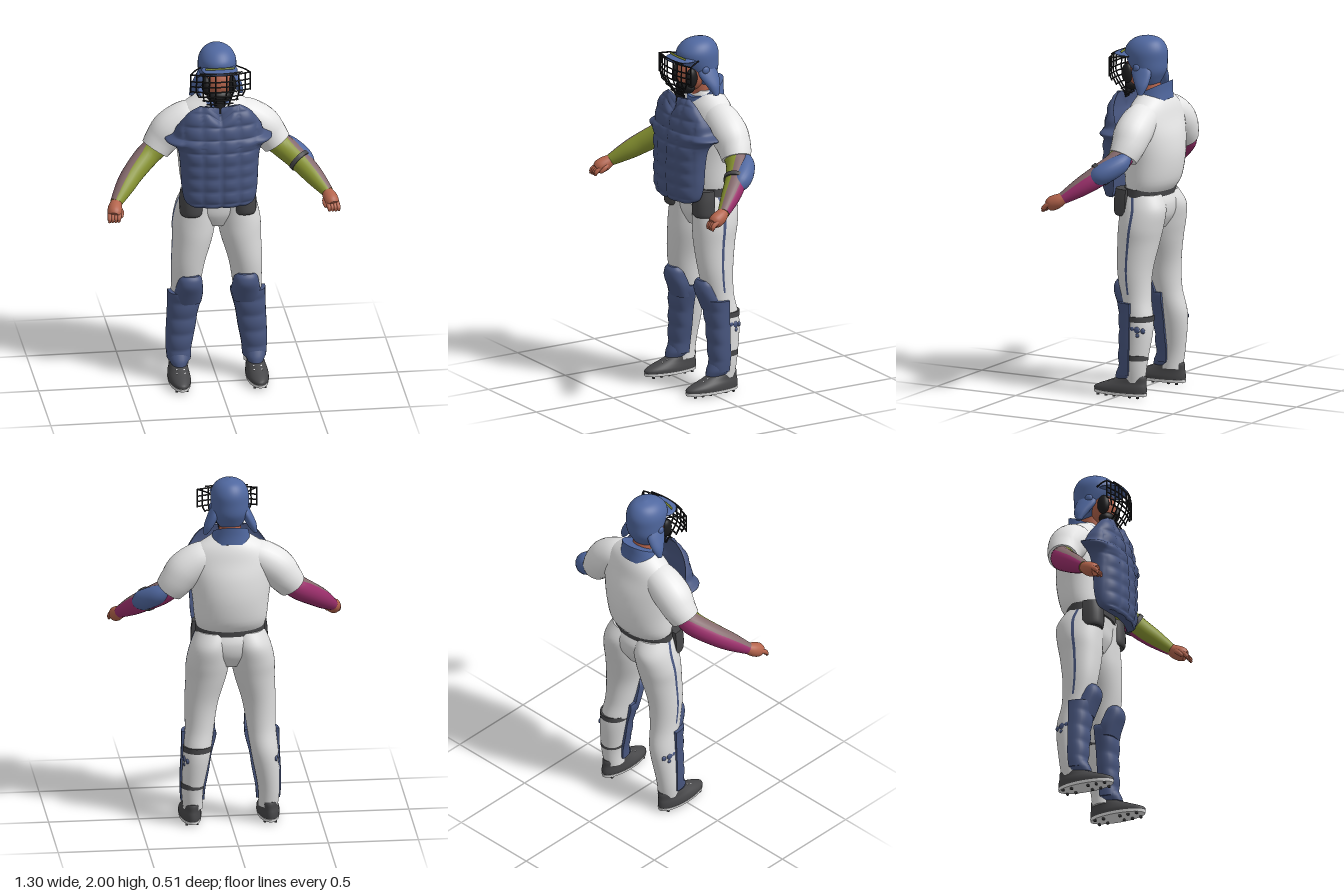
import * as THREE from 'three';

const mat = (name, color) => {
  const m = new THREE.MeshStandardMaterial({ color });
  m.name = name;
  return m;
};
const V = (x, y, z) => new THREE.Vector3(x, y, z);

// Catmull-Rom resampling of rows of numbers
function smooth(rows, n) {
  const out = [], last = rows.length - 1;
  for (let k = 0; k <= n; k++) {
    const f = (k / n) * last, i = Math.min(Math.floor(f), last - 1), t = f - i;
    const [a, b, c, d] = [rows[Math.max(i - 1, 0)], rows[i], rows[i + 1], rows[Math.min(i + 2, last)]];
    out.push(b.map((_, q) => 0.5 * (2 * b[q] + (c[q] - a[q]) * t + (2 * a[q] - 5 * b[q] + 4 * c[q] - d[q]) * t * t
      + (3 * b[q] - a[q] - 3 * c[q] + d[q]) * t * t * t)));
  }
  return out;
}

// Skin over closed rings with end caps; pick(j, i) chooses a material index
function loft(rings, pick = () => 0) {
  const m = rings[0].length, pos = [], lists = [];
  const tri = (k, ...v) => (lists[k] ??= []).push(...v);
  rings.forEach(r => r.forEach(p => pos.push(p.x, p.y, p.z)));
  for (let i = 0; i < rings.length - 1; i++) for (let j = 0; j < m; j++) {
    const a = i * m + j, b = i * m + (j + 1) % m, k = pick(j, i);
    tri(k, a, a + m, b, b, a + m, b + m);
  }
  [rings[0], rings[rings.length - 1]].forEach((r, end) => {
    const s = pos.length / 3, c = V(0, 0, 0);
    r.forEach(p => { pos.push(p.x, p.y, p.z); c.addScaledVector(p, 1 / m); });
    pos.push(c.x, c.y, c.z);
    for (let j = 0; j < m; j++) {
      const p = s + j, q = s + (j + 1) % m;
      end ? tri(0, s + m, q, p) : tri(0, s + m, p, q);
    }
  });
  const g = new THREE.BufferGeometry(), index = [];
  lists.forEach((l, k) => {
    if (lists.length > 1) g.addGroup(index.length, l.length, k);
    for (const v of l) index.push(v);
  });
  g.setAttribute('position', new THREE.Float32BufferAttribute(pos, 3));
  g.setIndex(index);
  g.computeVertexNormals();
  return g;
}

const angles = n => Array.from({ length: n }, (_, j) => (j / n) * Math.PI * 2);

// Upright body from rows [y, cx, cz, rx, rz], bottom to top
const body = (rows, n = 30, seg = 40, pick) => loft(smooth(rows, n).map(([y, cx, cz, rx, rz]) =>
  angles(seg).map(a => V(cx + rx * Math.cos(a), y, cz + rz * Math.sin(a)))), pick);

// Padded shield from rows [y, cx, halfWidth, backZ, frontZ]
const shield = (rows, n, seg, back, bump = () => 0, drop = () => 0) => loft(smooth(rows, n).map(([y, cx, w, zb, zf]) =>
  angles(seg).map(a => {
    const s = Math.sin(a), x = cx + w * Math.cos(a);
    const z = s > 0 ? zb + (zf - zb) * Math.pow(s, 0.65) + bump(x, y) * Math.min(1, s * 2) : zb - (zf - zb) * back * s;
    return V(x, y - drop(x, y), z);
  })));

// Limb from rows [x, y, z, r]; angle 0 is the top, a quarter turn is the outer back
function limb(rows, n = 16, seg = 24, pick) {
  const s = smooth(rows, n), p = s.map(r => V(r[0], r[1], r[2]));
  return loft(p.map((c, i) => {
    const T = p[Math.min(i + 1, n)].clone().sub(p[Math.max(i - 1, 0)]).normalize();
    const U = V(0, 1, 0).addScaledVector(T, -T.y).normalize(), W = U.clone().cross(T);
    return angles(seg).map(a => c.clone().addScaledVector(U, s[i][3] * Math.cos(a)).addScaledVector(W, s[i][3] * Math.sin(a)));
  }), pick);
}

const ball = (x, y, z, rx, ry, rz) => new THREE.SphereGeometry(1, 24, 16).scale(rx, ry, rz).translate(x, y, z);
const box = (x, y, z, w, h, d, tilt = 0) => new THREE.BoxGeometry(w, h, d).rotateX(tilt).translate(x, y, z);
const wire = (pts, r = 0.0045) => new THREE.TubeGeometry(new THREE.CatmullRomCurve3(pts), 20, r, 6);

function mirrored(geo) {
  const g = geo.clone().scale(-1, 1, 1), ix = g.index;
  for (let i = 0; i < ix.count; i += 3) {
    const t = ix.getX(i);
    ix.setX(i, ix.getX(i + 1));
    ix.setX(i + 1, t);
  }
  return g;
}

export function createModel() {
  const root = new THREE.Group();
  root.name = 'baseballCatcher';
  const white = mat('shirtWhite', 0xe8e8e8), pants = mat('pantsWhite', 0xdcdcdc);
  const blue = mat('helmetBlue', 0x5068a0), pad = mat('padBlue', 0x48567f);
  const charcoal = mat('charcoal', 0x474749), black = mat('wireBlack', 0x1b1b1d);
  const skin = mat('skin', 0xb4644c), olive = mat('sleeveOlive', 0x8a9632);
  const magenta = mat('sleeveMagenta', 0x9c2f6c), taupe = mat('sleeveTaupe', 0x84696c);
  const add = (name, geo, m) => {
    const mesh = new THREE.Mesh(geo, m);
    mesh.name = name;
    root.add(mesh);
  };
  const pair = (name, geo, m) => {
    add(name + 'Left', geo, m);
    add(name + 'Right', mirrored(geo), m);
  };

  // Torso, sleeves and hips
  add('shirt', body([[1.13, 0, -.07, .18, .112], [1.2, 0, -.09, .2, .14], [1.33, 0, -.1, .213, .155], [1.45, 0, -.1, .23, .15],
    [1.55, 0, -.1, .24, .125], [1.62, 0, -.1, .2, .108], [1.67, 0, -.1, .13, .085], [1.7, 0, -.09, .08, .065]]), white);
  pair('shirtSleeve', limb([[.1, 1.57, -.1, .085], [.17, 1.545, -.1, .1], [.25, 1.49, -.1, .105], [.3, 1.43, -.1, .095], [.34, 1.375, -.09, .082]]), white);
  add('hips', body([[.93, 0, -.08, .08, .08], [1, 0, -.085, .17, .115], [1.07, 0, -.085, .2, .122], [1.13, 0, -.07, .183, .113]]), pants);
  add('belt', body([[1.115, 0, -.07, .194, .122], [1.163, 0, -.072, .194, .124]], 2), charcoal);

  // Legs with a side stripe
  pair('pantLeg', body([[.09, .208, -.09, .055, .06], [.2, .212, -.1, .06, .066], [.4, .19, -.11, .075, .08], [.55, .172, -.08, .08, .085],
    [.7, .16, -.065, .093, .1], [.85, .135, -.072, .112, .118], [.95, .125, -.083, .12, .128], [1.05, .112, -.09, .11, .132],
    [1.13, .09, -.07, .098, .113]], 40, 48, (j, i) => (j === 0 && i > 15 ? 1 : 0)), [pants, pad]);
  pair('hipPouch', shield([[1.01, .147, .06, -.03, .055], [1.03, .147, .066, -.03, .066], [1.1, .145, .068, -.03, .066], [1.16, .14, .066, -.03, .058]], 12, 28, 0), charcoal);

  // Leg guards, straps and strap pads
  const rib = (x, y) => .007 * Math.abs(Math.sin(Math.PI * y / .095));
  pair('shinGuard', shield([[.13, .21, .066, -.085, -.005], [.2, .21, .071, -.09, -.004], [.3, .2, .08, -.09, -.003],
    [.4, .19, .085, -.09, 0], [.5, .176, .096, -.09, .01], [.535, .176, .096, -.09, .012]], 45, 36, 0, rib), pad);
  pair('kneeGuard', shield([[.47, .165, .075, -.05, .01], [.53, .16, .08, -.05, .035], [.585, .157, .073, -.03, .058],
    [.625, .155, .064, -.01, .055], [.647, .155, .045, .01, .04]], 16, 28, 0), pad);
  pair('ankleGuard', shield([[.105, .212, .045, -.07, .025], [.135, .212, .06, -.08, .018], [.17, .212, .06, -.08, 0]], 8, 24, 0), pad);
  [[.215, .211, -.101, .064, .07], [.432, .187, -.108, .079, .083]].forEach(([y, ...r], i) =>
    add('calfStrap' + (i + 1), body([[y, ...r], [y + .03, ...r]], 2), charcoal));
  [[.39, -.13, .02], [.385, -.16, .016], [.395, -.105, .016], [.36, -.135, .012]].forEach(([y, z, r], i) =>
    pair('strapPad' + (i + 1), ball(z < -.15 ? .245 : .258, y, z, .01, r, r), pad));

  // Shoes
  pair('shoe', body([[.026, .217, -.005, .061, .162], [.045, .217, -.006, .062, .163], [.065, .217, -.025, .058, .143],
    [.085, .215, -.05, .052, .115], [.11, .213, -.08, .049, .085], [.125, .212, -.09, .047, .07]], 14), charcoal);
  pair('sole', body([[.012, .217, -.005, .06, .163], [.028, .217, -.005, .063, .166]], 2), white);
  [-.13, -.08, .02, .07, .12].forEach((z, i) => [-1, 1].forEach(s =>
    pair('stud', box(.217 + s * .03, .007, z, .012, .014, .012), charcoal)));
  [0, .03, .058].forEach((z, i) => pair('lace' + (i + 1), box(.215, .106 - i * .012, z, .05, .005, .008, .4), white));

  // Arms with three-colour compression sleeves
  const arm = [[.3, 1.41, -.09, .062], [.38, 1.35, -.075, .066], [.47, 1.28, .0, .06], [.53, 1.225, .07, .052], [.59, 1.165, .15, .033]];
  pair('armSleeve', limb(arm, 24, 24, j => (j >= 23 || j < 3 ? 2 : j < 13 ? 1 : 0)), [olive, magenta, taupe]);
  pair('palm', limb([[.585, 1.17, .143, .029], [.597, 1.15, .175, .039], [.605, 1.132, .21, .04], [.61, 1.12, .23, .03]]), skin);
  for (let k = 0; k < 4; k++) {
    const x = .578 + k * .017;
    pair('finger' + (k + 1), limb([[x, 1.14, .2, .013], [x + .006, 1.118, .238, .013], [x + .009, 1.098, .249, .01], [x + .008, 1.09, .244, .004]], 10, 10), skin);
  }
  pair('thumb', limb([[.58, 1.15, .17, .014], [.566, 1.132, .2, .014], [.57, 1.112, .222, .011], [.575, 1.105, .227, .004]], 10, 10), skin);
  add('elbowGuard', limb([[.355, 1.395, -.125, .03], [.4, 1.355, -.11, .052], [.455, 1.315, -.062, .058], [.49, 1.285, -.015, .052], [.515, 1.26, .02, .025]]), blue);
  add('elbowStrap', limb([[.448, 1.3, -.02, .068], [.463, 1.287, -.006, .067]], 3), charcoal);

  // Quilted chest protector with a notch at the throat
  const quilt = (x, y) => .013 * Math.sqrt(Math.abs(Math.sin(Math.PI * x / .1) * Math.sin(Math.PI * y / .075))) - .006;
  const notch = (x, y) => .06 * Math.max(0, 1 - Math.abs(x) / .07) * THREE.MathUtils.smoothstep(y, 1.55, 1.68);
  add('chestProtector', shield([[1.1, 0, .16, .08, .145], [1.125, 0, .195, .055, .16], [1.2, 0, .21, .04, .165], [1.3, 0, .215, .035, .165],
    [1.4, 0, .225, .025, .163], [1.445, 0, .25, .01, .158], [1.475, 0, .298, 0, .153], [1.505, 0, .252, .005, .148], [1.55, 0, .235, .02, .14],
    [1.6, 0, .205, .045, .13], [1.65, 0, .165, .06, .115], [1.685, 0, .11, .07, .095]], 90, 96, .4, quilt, notch), pad);

  // Neck, tilted collar and head
  add('neck', body([[1.62, 0, -.085, .06, .06], [1.78, 0, -.06, .06, .06]], 4), skin);
  const collar = body([[1.61, 0, -.095, .12, .105], [1.66, 0, -.095, .11, .102], [1.71, 0, -.1, .098, .1]], 10);
  const cp = collar.attributes.position;
  for (let i = 0; i < cp.count; i++) cp.setY(i, cp.getY(i) - (cp.getZ(i) + .1) * .5);
  collar.computeVertexNormals();
  add('collar', collar, blue);
  add('face', ball(0, 1.8, -.005, .083, .1, .078), skin);
  add('helmet', body([[1.72, 0, -.075, .05, .04], [1.76, 0, -.07, .08, .068], [1.81, 0, -.065, .1, .097], [1.87, 0, -.05, .106, .117],
    [1.92, 0, -.046, .104, .121], [1.96, 0, -.05, .086, .1], [1.986, 0, -.055, .055, .066], [2, 0, -.06, .01, .012]], 36), blue);
  pair('earFlap', body([[1.69, .138, -.085, .012, .015], [1.74, .117, -.08, .028, .04], [1.8, .09, -.065, .03, .06], [1.84, .075, -.06, .025, .05]], 16, 24), blue);
  pair('earBump', ball(.102, 1.83, -.04, .012, .022, .022), blue);
  add('visor', ball(0, 1.89, .055, .1, .014, .085), blue);
  add('browPad', wire([V(-.08, 1.903, .075), V(0, 1.906, .085), V(.08, 1.903, .075)], .006), olive);

  // Face mask: padding and wire cage
  add('chinPad', ball(0, 1.725, .03, .07, .04, .045), black);
  add('throatGuard', shield([[1.64, 0, .018, .075, .092], [1.68, 0, .032, .06, .085], [1.72, 0, .035, .06, .08]], 8, 20, 0), black);
  pair('cheekPad', ball(.072, 1.79, .035, .024, .055, .035), black);
  const cage = (x, y) => V(x, y, .13 - 1.2 * x * x - Math.max(0, 1.76 - y) * .7);
  [[1.895, .12], [1.885, .165], [1.845, .165], [1.815, .165], [1.785, .165], [1.755, .12], [1.725, .1], [1.695, .075], [1.665, .05]].forEach(([y, w], i) =>
    add('cageBar' + (i + 1), wire([-1, -.5, 0, .5, 1].map(t => cage(t * w, y))), black));
  [[.165, 1.785, .165], [.135, 1.755, .12], [.1, 1.725, .09], [.065, 1.665, .045], [.03, 1.66, .02]].forEach(([x, low, xl], i) =>
    pair('cageUpright' + (i + 1), wire([cage(x, 1.89), cage(x, 1.84), cage(x, 1.785), cage(xl, low - .005)]), black));
  pair('cageArm', wire([cage(.165, 1.885), V(.14, 1.89, .06), V(.1, 1.89, .01)]), black);
  return root;
}
